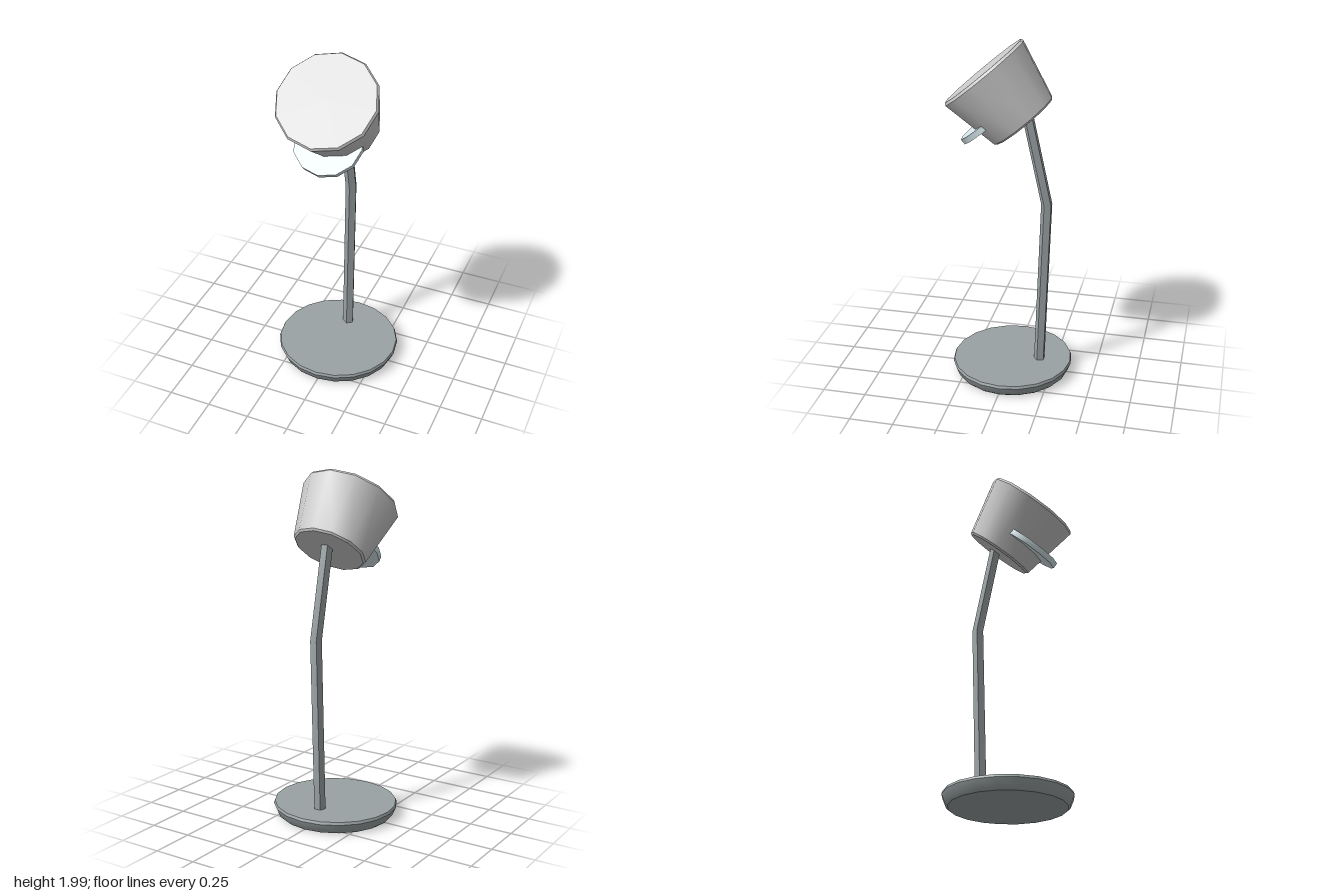
import * as THREE from 'three';
import { toCreasedNormals } from 'three/addons/utils/BufferGeometryUtils.js';

const WIDEN = 1.03; // every round part is slightly wider across x

function addPart(parent, name, geometry, color) {
  geometry.scale(WIDEN, 1, 1);
  const mesh = new THREE.Mesh(
    toCreasedNormals(geometry, 0.6),
    new THREE.MeshStandardMaterial({ color })
  );
  mesh.name = name;
  parent.add(mesh);
  return mesh;
}

// Closed turned solid from [radius, height] pairs, bottom to top
function turned(profile, sides) {
  return new THREE.LatheGeometry(profile.map(([r, y]) => new THREE.Vector2(r, y)), sides);
}

// Five-sided rod whose horizontal sections follow [y, z] stations, bottom to top
function bentRod(radius, stations) {
  const rows = stations.length - 1;
  const geometry = new THREE.CylinderGeometry(radius, radius, rows, 5, rows);
  const pos = geometry.attributes.position;
  for (let i = 0; i < pos.count; i++) {
    const [y, z] = stations[Math.round(pos.getY(i) + rows / 2)];
    pos.setY(i, y);
    pos.setZ(i, pos.getZ(i) + z);
  }
  return geometry;
}

export function createModel() {
  const lamp = new THREE.Group();
  lamp.name = 'deskLamp';

  // Weighted foot with a flared rim
  const base = addPart(lamp, 'base', turned([
    [0, 0], [0.32, 0], [0.333, 0.012], [0.353, 0.06], [0.347, 0.075], [0, 0.075],
  ], 20), 0x9aa2a4);
  base.position.z = -0.011;

  // Stem leaning back, then bending forward into the shade
  addPart(lamp, 'stem', bentRod(0.033, [
    [0.05, -0.174], [1.07, -0.207], [1.64, -0.082],
  ]), 0x9aa2a4);

  // Tilted head: its local y axis points out through the wide face
  const head = new THREE.Group();
  head.name = 'head';
  head.position.set(0, 1.82, 0.155);
  head.rotation.x = THREE.MathUtils.degToRad(40.5);
  lamp.add(head);

  // Tapered shade with small chamfers at both ends
  addPart(head, 'shade', turned([
    [0, -0.355], [0.196, -0.355], [0.207, -0.345], [0.277, -0.015], [0.268, 0], [0, 0],
  ], 12), 0xcccccc);

  // Pale disc set off-centre so that it juts out below the shade
  const disc = addPart(head, 'disc', new THREE.CylinderGeometry(0.188, 0.188, 0.033, 12), 0xd5e6ea);
  disc.position.set(0, -0.23, 0.155);

  return lamp;
}
